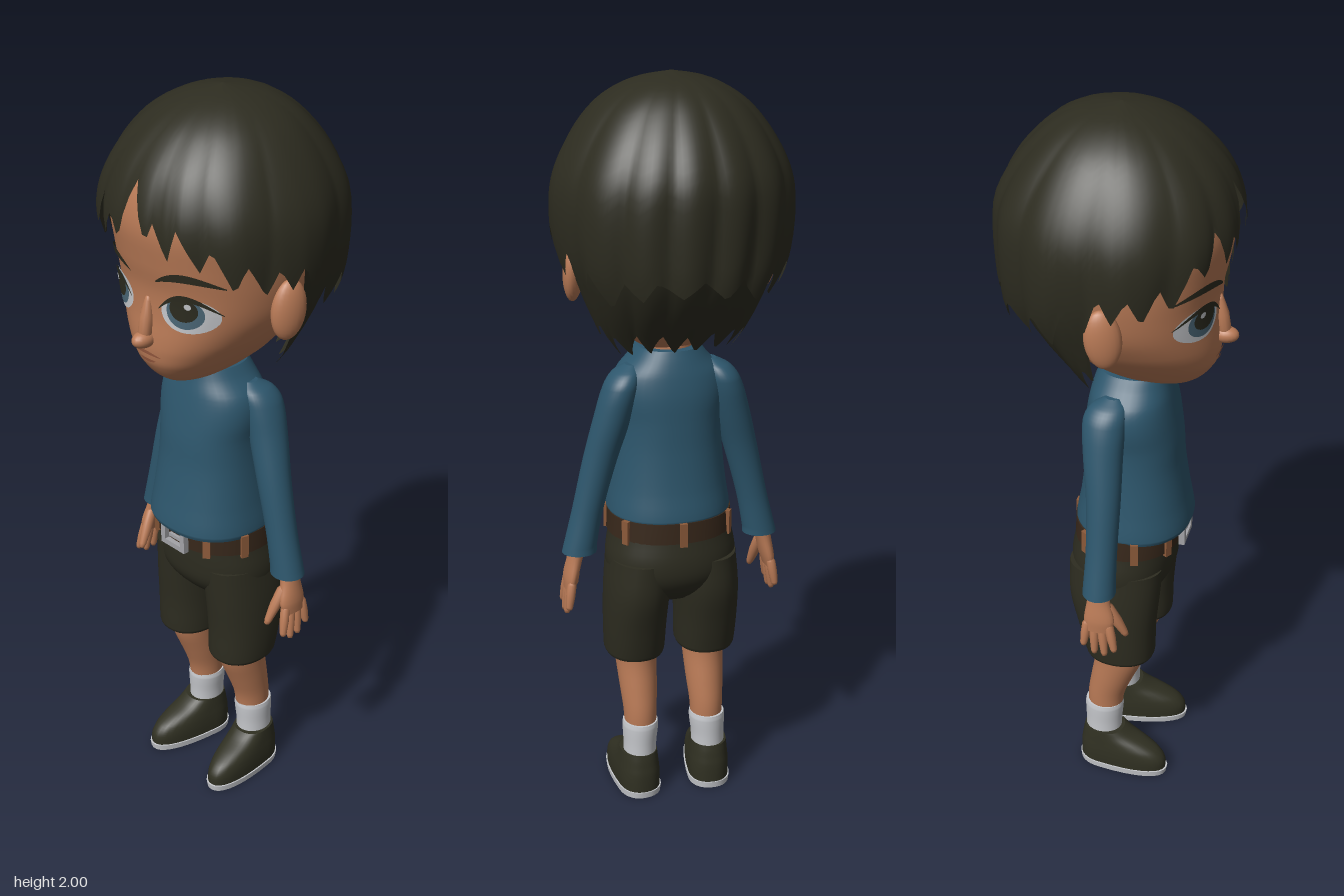
import * as THREE from 'three';

const mat = (name, color, side = THREE.FrontSide) => {
  const m = new THREE.MeshStandardMaterial({ color, side });
  m.name = name;
  return m;
};

// Smooth interpolation of cross-section rows [y, cx, cz, rx, front, back] at height y
function at(rows, y) {
  let i = 0;
  while (i < rows.length - 2 && y > rows[i + 1][0]) i++;
  const p1 = rows[i], p2 = rows[i + 1], p0 = rows[i - 1] || p1, p3 = rows[i + 2] || p2;
  const h = p2[0] - p1[0], t = Math.min(1, Math.max(0, (y - p1[0]) / h)), t2 = t * t, t3 = t2 * t;
  return p1.map((v, k) => {
    const m1 = (p2[k] - p0[k]) / (p2[0] - p0[0]) * h, m2 = (p3[k] - p1[k]) / (p3[0] - p1[0]) * h;
    return (2 * t3 - 3 * t2 + 1) * v + (t3 - 2 * t2 + t) * m1 + (3 * t2 - 2 * t3) * p2[k] + (t3 - t2) * m2;
  });
}

// Point on a superelliptic ring; angle 0 is the front, growing towards +x
function ringPoint([y, cx, cz, rx, rf, rb = rf], a, n, swell = 1) {
  const s = Math.sin(a), c = Math.cos(a), e = 2 / n;
  return [cx + Math.sign(s) * Math.abs(s) ** e * rx * swell, y,
    cz + Math.sign(c) * Math.abs(c) ** e * (c > 0 ? rf : rb) * swell];
}

// Closed-around surface from upward-running rings, with optional sharp caps
function grid(n, seg, point, caps) {
  const pos = [], idx = [];
  for (let i = 0; i <= n; i++) for (let j = 0; j < seg; j++) pos.push(...point(i, j));
  for (let i = 0; i < n; i++) for (let j = 0; j < seg; j++) {
    const a = i * seg + j, b = i * seg + (j + 1) % seg;
    idx.push(a, b, b + seg, a, b + seg, a + seg);
  }
  if (caps) for (const i of [0, n]) {
    const base = pos.length / 3, mid = [0, 0, 0];
    for (let j = 0; j < seg; j++) {
      const p = point(i, j);
      pos.push(...p);
      p.forEach((v, k) => { mid[k] += v / seg; });
    }
    pos.push(...mid);
    for (let j = 0; j < seg; j++) {
      const a = base + j, b = base + (j + 1) % seg;
      idx.push(base + seg, ...(i ? [a, b] : [b, a]));
    }
  }
  const g = new THREE.BufferGeometry();
  g.setAttribute('position', new THREE.Float32BufferAttribute(pos, 3));
  g.setIndex(idx);
  g.computeVertexNormals();
  return g;
}

function loft(rows, { n = 2, seg = 32, sub = 4 } = {}) {
  const ys = [rows[0][0]];
  for (let i = 1; i < rows.length; i++)
    for (let k = 1; k <= sub; k++) ys.push(rows[i - 1][0] + (rows[i][0] - rows[i - 1][0]) * k / sub);
  const rings = ys.map(y => at(rows, y));
  return grid(rings.length - 1, seg, (i, j) => ringPoint(rings[i], j / seg * Math.PI * 2, n), true);
}

// Tapered round-tipped rod from a to b
function rod(a, b, r0, r1) {
  const A = new THREE.Vector3(...a), d = new THREE.Vector3(...b).sub(A), L = d.length();
  const pts = [[r0 * 0.6, 0], [r0, L * 0.1], [r0, L * 0.5], [r1, L * 0.88], [r1 * 0.7, L * 0.97], [0, L]];
  const g = new THREE.LatheGeometry(pts.map(p => new THREE.Vector2(...p)), 12);
  g.applyQuaternion(new THREE.Quaternion().setFromUnitVectors(new THREE.Vector3(0, 1, 0), d.normalize()));
  return g.translate(...a);
}

function mirrored(geo) {
  const g = geo.clone().scale(-1, 1, 1), ix = g.index.array;
  for (let i = 0; i < ix.length; i += 3) [ix[i], ix[i + 1]] = [ix[i + 1], ix[i]];
  return g;
}

const HEAD = [
  [1.275, 0, 0.10, 0.03, 0.05, 0.06], [1.29, 0, 0.08, 0.07, 0.12, 0.09], [1.34, 0, 0.04, 0.127, 0.205, 0.13],
  [1.38, 0, 0.03, 0.163, 0.225, 0.15], [1.42, 0, 0.02, 0.193, 0.235, 0.18], [1.48, 0, 0, 0.226, 0.25, 0.2],
  [1.55, 0, 0, 0.241, 0.252, 0.23], [1.62, 0, 0, 0.246, 0.266, 0.25], [1.72, 0, 0, 0.25, 0.277, 0.26],
  [1.82, 0, 0, 0.22, 0.245, 0.24], [1.9, 0, 0, 0.15, 0.165, 0.16], [1.95, 0, 0, 0.04, 0.04, 0.04]];
const FACE_N = 2.25;
const faceZ = (x, y) => {
  const r = at(HEAD, y);
  return r[2] + r[4] * Math.max(0, 1 - Math.abs(x / r[3]) ** FACE_N) ** (1 / FACE_N);
};

// Thin plate lying on the face: place() maps the geometry's x, y to face x, y
function decal(geo, off, place) {
  const p = geo.attributes.position;
  for (let i = 0; i < p.count; i++) {
    const [x, y] = place(p.getX(i), p.getY(i));
    p.setXYZ(i, x, y, faceZ(x, y) + off);
  }
  geo.computeVertexNormals();
  return geo;
}
const spot = (cx, cy, rx, up, down, off) => decal(new THREE.RingGeometry(0, 1, 32, 5), off,
  (x, y) => [cx + x * rx, cy + y * (y > 0 ? up : down)]);
const stroke = (x0, x1, y, arch, thick, off) => decal(new THREE.PlaneGeometry(1, 1, 16, 2), off, (u, v) =>
  [x0 + (x1 - x0) * (u + 0.5), y + arch * (1 - 4 * u * u) + v * thick * (1 - 3.4 * u * u)]);

// Hair shell running from the crown to a jagged edge, given as [degrees, y] points
function hairShell(rows, edge, ridge) {
  const seg = 144, n = 22, top = rows[rows.length - 1][0];
  const edgeY = deg => {
    let i = 0;
    while (i < edge.length - 2 && deg > edge[i + 1][0]) i++;
    const [a, b] = [edge[i], edge[i + 1]];
    return a[1] + (b[1] - a[1]) * (deg - a[0]) / (b[0] - a[0]);
  };
  return grid(n, seg, (i, j) => {
    const t = 1 - i / n, a = j / seg * Math.PI * 2;
    const y = top - (top - edgeY(j / seg * 360)) * (1 - Math.cos(t * Math.PI / 2));
    const wave = Math.abs(Math.sin(a * 6.5 + 1.2 * Math.sin(a * 2) + t)) - 0.6;
    return ringPoint(at(rows, y), a, 2.08, 1 + ridge * t * wave * Math.sin(a / 2) ** 0.5);
  });
}

export function createModel() {
  const model = new THREE.Group();
  model.name = 'boy';
  const dark = mat('dark hair and cloth', 0x2d2c20, THREE.DoubleSide), skin = mat('skin', 0xb97a56);
  const shirt = mat('blue shirt', 0x2d566c), belt = mat('brown belt', 0x38281b), tan = mat('tan leather', 0x8c5a3a);
  const metal = mat('buckle metal', 0xa4a4a8), white = mat('white', 0xc6c8cc), iris = mat('iris blue', 0x4c6878);
  const lip = mat('lip', 0x96593f), shoe = mat('shoe olive', 0x303022);
  const add = (name, geo, m) => {
    const mesh = new THREE.Mesh(geo, m);
    mesh.name = name;
    model.add(mesh);
  };
  const pair = (name, geo, m) => {
    add(name + 'Left', geo, m);
    add(name + 'Right', mirrored(geo), m);
  };

  // Head and face
  add('head', loft(HEAD, { n: FACE_N, seg: 64, sub: 5 }), skin);
  add('neck', loft([[1.2, 0, 0.035, 0.08, 0.08], [1.27, 0, 0.045, 0.072, 0.08], [1.36, 0, 0.05, 0.075, 0.08]]), skin);
  add('nose', new THREE.SphereGeometry(1, 20, 14).scale(0.024, 0.022, 0.036).translate(0, 1.418, 0.264), skin);
  add('noseBridge', rod([0, 1.42, 0.264], [0, 1.53, 0.246], 0.018, 0.01), skin);
  add('mouth', stroke(-0.045, 0.045, 1.376, 0.005, 0.009, 0.004), lip);
  add('lowerLip', stroke(-0.028, 0.028, 1.362, -0.003, 0.009, 0.003), lip);
  pair('ear', new THREE.SphereGeometry(1, 20, 16).scale(0.026, 0.078, 0.046).rotateY(-0.35).rotateX(-0.12)
    .translate(0.252, 1.505, 0.022), skin);
  pair('eyeWhite', spot(0.117, 1.51, 0.066, 0.046, 0.05, 0.005), white);
  pair('iris', spot(0.113, 1.515, 0.044, 0.041, 0.043, 0.008), iris);
  pair('pupil', spot(0.113, 1.524, 0.033, 0.032, 0.032, 0.0105), dark);
  pair('eyeGlint', spot(0.126, 1.535, 0.008, 0.008, 0.008, 0.013), white);
  pair('upperLash', stroke(0.048, 0.19, 1.514, 0.042, 0.016, 0.0115), dark);
  pair('eyebrow', stroke(0.045, 0.198, 1.585, 0.024, 0.022, 0.007), dark);

  // Hair: layered cap with fringe, over a longer nape layer
  add('hairCap', hairShell([
    [1.42, 0, 0, 0.24, 0.27, 0.265], [1.52, 0, 0, 0.282, 0.28, 0.297], [1.6, 0, 0, 0.3, 0.288, 0.304],
    [1.7, 0, 0, 0.304, 0.3, 0.306], [1.77, 0, 0, 0.29, 0.292, 0.298], [1.85, 0, 0, 0.25, 0.257, 0.258],
    [1.92, 0, 0, 0.195, 0.195, 0.2], [1.96, 0, 0, 0.14, 0.135, 0.15], [1.985, 0, 0, 0.08, 0.07, 0.09],
    [2, 0, 0, 0, 0, 0]], [
    [0, 1.83], [9, 1.69], [12, 1.75], [20, 1.66], [25, 1.74], [35, 1.64], [41, 1.7], [51, 1.59], [57, 1.66],
    [67, 1.57], [73, 1.64], [80, 1.58], [86, 1.64], [95, 1.51], [103, 1.58], [112, 1.47], [120, 1.55], [131, 1.46],
    [140, 1.53], [150, 1.49], [158, 1.54], [170, 1.5], [180, 1.54], [191, 1.49], [200, 1.54], [212, 1.47],
    [221, 1.54], [232, 1.46], [241, 1.55], [250, 1.47], [258, 1.58], [266, 1.51], [274, 1.64], [280, 1.57],
    [287, 1.64], [294, 1.57], [302, 1.66], [309, 1.59], [318, 1.71], [326, 1.66], [333, 1.77], [340, 1.67],
    [346, 1.74], [351, 1.67], [360, 1.83]], 0.06), dark);
  add('hairNape', hairShell([
    [1.28, 0, 0, 0.145, 0.1, 0.1], [1.34, 0, 0, 0.19, 0.15, 0.135], [1.4, 0, 0, 0.218, 0.2, 0.185],
    [1.46, 0, 0, 0.24, 0.23, 0.228], [1.55, 0, 0, 0.268, 0.25, 0.272], [1.7, 0, 0, 0.28, 0.27, 0.284],
    [1.84, 0, 0, 0.23, 0.22, 0.23], [1.93, 0, 0, 0.1, 0.1, 0.1], [1.95, 0, 0, 0, 0, 0]], [
    [0, 1.9], [70, 1.8], [90, 1.62], [98, 1.33], [104, 1.39], [112, 1.29], [121, 1.36], [132, 1.3], [142, 1.37],
    [152, 1.31], [162, 1.37], [172, 1.31], [180, 1.36], [189, 1.31], [199, 1.37], [209, 1.31], [219, 1.37],
    [229, 1.3], [239, 1.36], [248, 1.29], [256, 1.39], [262, 1.33], [270, 1.62], [290, 1.8], [360, 1.9]], 0.04), dark);

  // Shirt
  add('shirtBody', loft([
    [0.832, 0, 0.04, 0.163, 0.152], [0.845, 0, 0.04, 0.166, 0.156], [0.92, 0, 0.04, 0.155, 0.143],
    [1.02, 0, 0.038, 0.144, 0.13], [1.1, 0, 0.037, 0.142, 0.125], [1.17, 0, 0.033, 0.15, 0.118],
    [1.225, 0, 0.032, 0.14, 0.108], [1.265, 0, 0.033, 0.105, 0.098], [1.295, 0, 0.036, 0.083, 0.09]],
  { n: 2.25, seg: 40 }), shirt);
  pair('sleeve', loft([
    [0.74, 0.254, 0.008, 0.047, 0.044], [0.76, 0.251, 0.008, 0.045, 0.043], [0.86, 0.229, 0.008, 0.042, 0.041],
    [1, 0.194, 0.004, 0.046, 0.045], [1.12, 0.16, -0.006, 0.05, 0.052], [1.2, 0.138, -0.008, 0.047, 0.056],
    [1.235, 0.124, -0.002, 0.036, 0.046], [1.255, 0.108, 0.006, 0.015, 0.02]]), shirt);

  // Hands
  pair('palm', loft([
    [0.635, 0.284, 0.012, 0.013, 0.036], [0.67, 0.278, 0.014, 0.019, 0.041], [0.72, 0.267, 0.01, 0.021, 0.031],
    [0.77, 0.256, 0.008, 0.024, 0.026]], { seg: 20 }), skin);
  [[0.04, 0.06, 0.575], [0.021, 0.033, 0.557], [0.001, 0.005, 0.56], [-0.017, -0.026, 0.582]].forEach(([z0, z1, y], i) =>
    pair('finger' + (i + 1), rod([0.281, 0.66, z0], [0.293, y, z1], 0.0125, 0.0095), skin));
  pair('thumb', rod([0.265, 0.71, 0.03], [0.252, 0.605, 0.083], 0.015, 0.01), skin);

  // Shorts
  add('shortsHips', loft([
    [0.59, 0, 0.008, 0.08, 0.06], [0.625, 0, 0.01, 0.14, 0.105], [0.67, 0, 0.012, 0.172, 0.135],
    [0.72, 0, 0.013, 0.178, 0.142], [0.78, 0, 0.018, 0.168, 0.138], [0.835, 0, 0.022, 0.16, 0.132]],
  { n: 2.2, seg: 40 }), dark);
  pair('shortsLeg', loft([
    [0.42, 0.101, 0.025, 0.078, 0.092], [0.43, 0.101, 0.025, 0.082, 0.096], [0.52, 0.101, 0.015, 0.085, 0.108],
    [0.62, 0.097, 0.007, 0.087, 0.124], [0.72, 0.09, 0.01, 0.085, 0.128]], { n: 2.2 }), dark);

  // Belt, loops and buckle
  add('belt', loft([[0.783, 0, 0.026, 0.17, 0.146], [0.84, 0, 0.028, 0.167, 0.146]], { n: 2.2, seg: 40, sub: 1 }), belt);
  for (const deg of [33, 72, 125, 180, 235, 288, 327]) {
    const a = deg * Math.PI / 180, p = ringPoint([0.808, 0, 0.027, 0.17, 0.147], a, 2.2);
    add('beltLoop', new THREE.BoxGeometry(0.02, 0.066, 0.012).rotateY(a).translate(...p), tan);
  }
  const frame = new THREE.Shape([[-0.045, -0.035], [0.045, -0.035], [0.045, 0.035], [-0.045, 0.035]]
    .map(p => new THREE.Vector2(...p)));
  frame.holes.push(new THREE.Path([[-0.029, -0.02], [-0.029, 0.02], [0.029, 0.02], [0.029, -0.02]]
    .map(p => new THREE.Vector2(...p))));
  add('buckleFrame', new THREE.ExtrudeGeometry(frame, { depth: 0.016, bevelEnabled: false })
    .translate(0, 0.81, 0.17), metal);
  add('bucklePin', new THREE.BoxGeometry(0.05, 0.01, 0.008).translate(0.01, 0.81, 0.18), metal);

  // Legs, socks and shoes
  pair('leg', loft([
    [0.18, 0.096, -0.022, 0.043, 0.048], [0.25, 0.096, -0.018, 0.046, 0.052], [0.32, 0.096, 0, 0.052, 0.06],
    [0.4, 0.097, 0.022, 0.057, 0.07], [0.48, 0.098, 0.025, 0.062, 0.075]]), skin);
  pair('sock', loft([
    [0.08, 0.1, -0.025, 0.047, 0.052], [0.15, 0.099, -0.025, 0.046, 0.052], [0.205, 0.097, -0.024, 0.05, 0.055],
    [0.22, 0.097, -0.024, 0.048, 0.053]]), white);
  const foot = rows => loft(rows, { n: 2.3, seg: 36 }).rotateY(0.12).translate(0.103, 0, -0.02);
  pair('shoe', foot([
    [0.015, 0, 0, 0.056, 0.186, 0.07], [0.045, 0, 0, 0.057, 0.184, 0.07], [0.07, 0, 0, 0.056, 0.165, 0.069],
    [0.09, 0, 0, 0.054, 0.13, 0.066], [0.11, 0, 0, 0.052, 0.085, 0.063], [0.128, 0, 0, 0.05, 0.056, 0.059]]), shoe);
  pair('sole', foot([[0, 0, 0, 0.058, 0.188, 0.071], [0.018, 0, 0, 0.06, 0.191, 0.073]]), white);

  return model;
}
